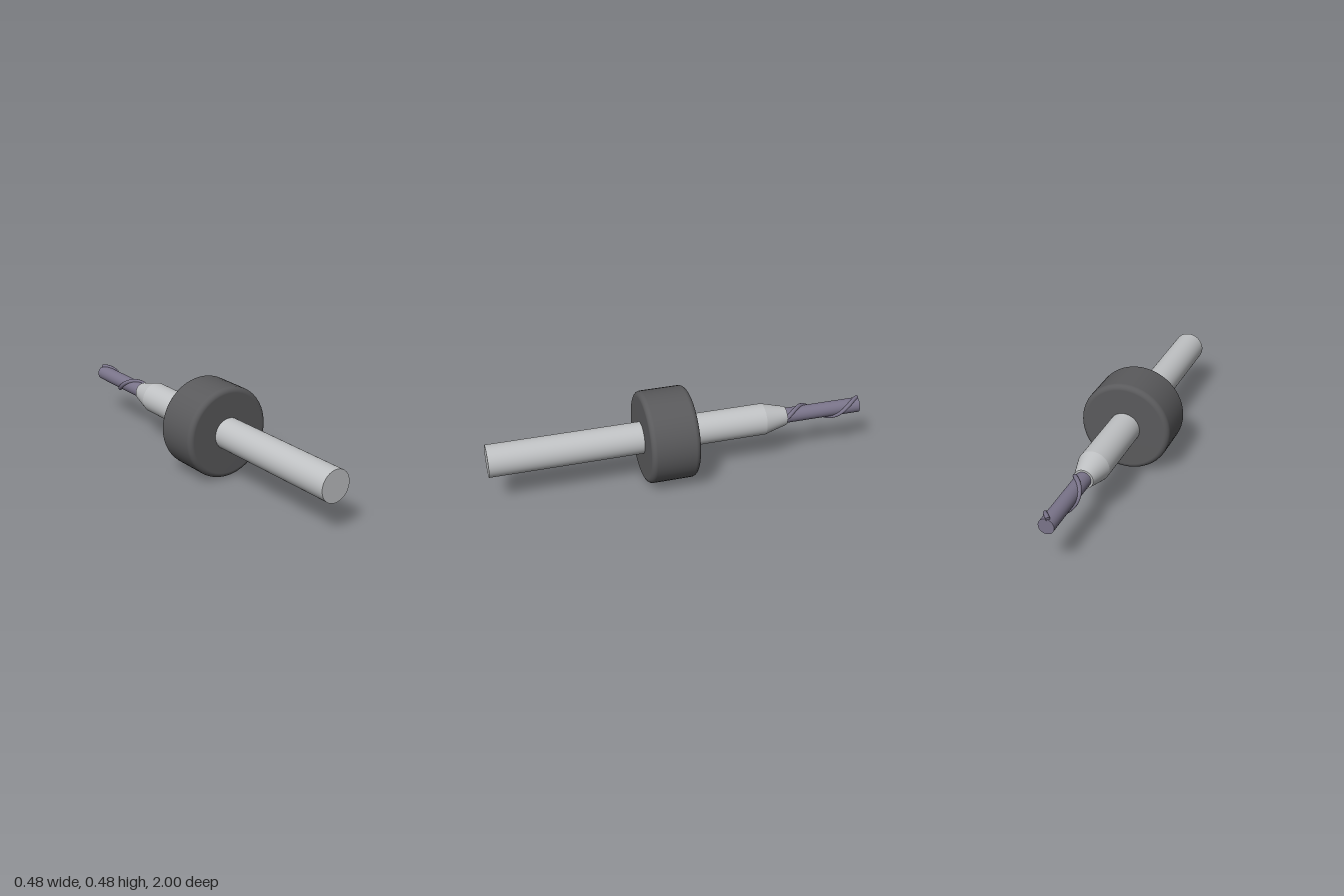
import * as THREE from 'three';

const AXIS_Y = 0.24;
const steel = new THREE.MeshStandardMaterial({ name: 'light steel', color: 0xc0c2c4 });
const rubber = new THREE.MeshStandardMaterial({ name: 'dark grey collar', color: 0x5a5a5c });
const carbide = new THREE.MeshStandardMaterial({ name: 'violet grey carbide', color: 0x7a748a });

function addPart(group, name, geometry, material) {
  const mesh = new THREE.Mesh(geometry, material);
  mesh.name = name;
  group.add(mesh);
}

// Round bar along z from zBack (radius rBack) to zFront (radius rFront)
function bar(rBack, rFront, zBack, zFront) {
  return new THREE.CylinderGeometry(rFront, rBack, zFront - zBack, 48)
    .rotateX(Math.PI / 2)
    .translate(0, 0, (zBack + zFront) / 2);
}

// Solid disc with rounded rims
function roundedCollar(radius, zBack, zFront, fillet) {
  const points = [new THREE.Vector2(0, zBack)];
  for (const [z, start] of [[zBack + fillet, -Math.PI / 2], [zFront - fillet, 0]]) {
    for (let i = 0; i <= 6; i++) {
      const a = start + (i / 6) * Math.PI / 2;
      points.push(new THREE.Vector2(radius - fillet + fillet * Math.cos(a), z + fillet * Math.sin(a)));
    }
  }
  points.push(new THREE.Vector2(0, zFront));
  return new THREE.LatheGeometry(points, 48).rotateX(Math.PI / 2);
}

// Helical path of the cutting edge
class Helix extends THREE.Curve {
  getPoint(t, target = new THREE.Vector3()) {
    const z = -0.575 - 0.415 * t;
    const a = (-0.565 - z) / 0.33 * Math.PI * 2;
    return target.set(0.041 * Math.cos(a), 0.041 * Math.sin(a), z);
  }
}

export function createModel() {
  const model = new THREE.Group();
  model.name = 'endMill';
  const tool = new THREE.Group();
  tool.name = 'tool';
  tool.position.y = AXIS_Y;
  model.add(tool);

  addPart(tool, 'shank', bar(0.083, 0.083, -0.45, 1), steel);
  addPart(tool, 'taperedNeck', bar(0.05, 0.083, -0.575, -0.45), steel);
  addPart(tool, 'depthCollar', roundedCollar(0.24, -0.045, 0.21, 0.027), rubber);
  addPart(tool, 'cutterCore', bar(0.04, 0.04, -0.993, -0.57), carbide);

  // Spiral edge with closed ends
  const helix = new Helix();
  addPart(tool, 'spiralEdge', new THREE.TubeGeometry(helix, 80, 0.011, 10, false), carbide);
  for (const t of [0, 1]) {
    const cap = new THREE.CircleGeometry(0.011, 10);
    const direction = helix.getTangent(t).multiplyScalar(t ? 1 : -1);
    cap.applyQuaternion(new THREE.Quaternion().setFromUnitVectors(new THREE.Vector3(0, 0, 1), direction));
    const end = helix.getPoint(t);
    cap.translate(end.x, end.y, end.z);
    addPart(tool, 'spiralEdgeEnd', cap, carbide);
  }
  return model;
}
